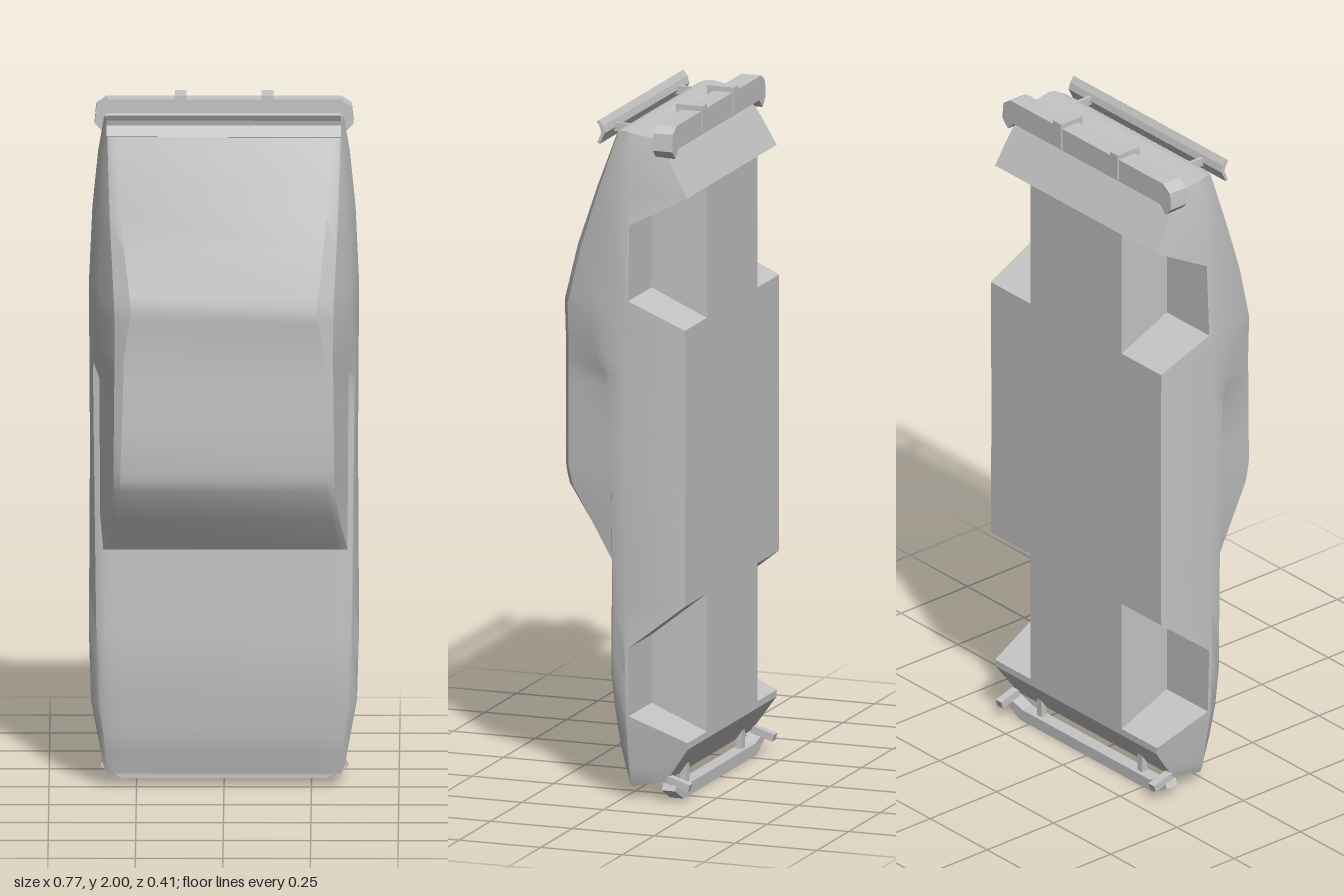
import * as THREE from 'three';
import { toCreasedNormals } from 'three/addons/utils/BufferGeometryUtils.js';

// Car shell standing on its nose: length along y (nose at 0), roof towards +z.
const paint = new THREE.MeshStandardMaterial({ color: 0xc4c4c4 });
paint.name = 'grey paint';

// Piecewise-linear curve through [y, value] pairs
const curve = (...pts) => (y) => {
  if (y <= pts[0][0]) return pts[0][1];
  for (let i = 1; i < pts.length; i++) {
    const [a, u] = pts[i - 1], [b, v] = pts[i];
    if (y <= b) return u + (v - u) * (y - a) / (b - a);
  }
  return pts[pts.length - 1][1];
};

// Underside, wheel arches and side outline
const floorZ = curve([0.035, -0.03], [0.06, -0.13], [0.16, -0.2], [1.78, -0.2], [1.94, -0.11], [1.957, -0.01]);
const archZ = curve([0.18, -0.2], [0.25, -0.03], [0.45, -0.03], [0.585, -0.2],
  [1.395, -0.2], [1.47, -0.03], [1.69, -0.03], [1.78, -0.2]);
const sideX = curve([0.035, 0.335], [0.06, 0.345], [0.25, 0.38], [0.45, 0.386], [1, 0.383],
  [1.47, 0.386], [1.69, 0.376], [1.85, 0.36], [1.957, 0.342]);
// Shoulder line, glasshouse base, roof edge and centre line
const beltX = curve([0.035, 0.33], [0.06, 0.338], [0.25, 0.362], [0.7, 0.368], [1.2, 0.374],
  [1.43, 0.37], [1.7, 0.358], [1.957, 0.338]);
const beltZ = curve([0.035, -0.019], [0.15, 0.002], [0.36, 0.025], [0.7, 0.025], [1.2, 0.03],
  [1.43, 0.045], [1.75, 0.03], [1.957, 0.003]);
const shelfX = curve([0.035, 0.328], [0.06, 0.334], [0.25, 0.355], [0.7, 0.353], [1.2, 0.356],
  [1.3, 0.358], [1.43, 0.358], [1.7, 0.35], [1.957, 0.337]);
const shelfZ = curve([0.035, -0.018], [0.15, 0.007], [0.36, 0.032], [0.7, 0.032], [1.2, 0.036],
  [1.3, 0.08], [1.43, 0.09], [1.75, 0.055], [1.957, 0.007]);
const edgeX = curve([0.035, 0.31], [0.25, 0.335], [0.7, 0.345], [0.9, 0.316], [1.3, 0.312],
  [1.43, 0.313], [1.7, 0.327], [1.957, 0.335]);
const edgeZ = curve([0.035, -0.017], [0.15, 0.011], [0.36, 0.037], [0.7, 0.034], [0.9, 0.167], [0.96, 0.18],
  [1.3, 0.18], [1.43, 0.183], [1.6, 0.14], [1.78, 0.08], [1.95, 0.02], [1.957, 0.01]);
const roofX = curve([0.035, 0.28], [0.7, 0.325], [0.9, 0.297], [1.3, 0.285], [1.43, 0.265],
  [1.6, 0.285], [1.957, 0.315]);
const roofZ = curve([0.035, -0.015], [0.15, 0.015], [0.36, 0.04], [0.7, 0.036], [0.9, 0.182], [0.95, 0.195],
  [1.3, 0.198], [1.43, 0.21], [1.6, 0.162], [1.78, 0.096], [1.95, 0.028], [1.957, 0.015]);

// One closed cross-section of the shell
function section(y) {
  const f = floorZ(y), a = Math.max(f, archZ(y)), m = Math.max(a, -0.02), s = sideX(y);
  const half = [
    [0.2, f], [0.2, a], [s - 0.012 * (m - a) / 0.18, a], [s, m],
    [beltX(y), beltZ(y)], [shelfX(y), shelfZ(y)], [edgeX(y), edgeZ(y)], [roofX(y), roofZ(y)],
  ];
  const mirror = half.map(([x, z]) => [-x, z]).reverse();
  return [...half, ...mirror].map(([x, z]) => new THREE.Vector3(x, y, z));
}

// Skin between successive rings, closed at both ends
function loft(rings, crease) {
  const pos = [];
  const tri = (a, b, c) => {
    const area = b.clone().sub(a).cross(c.clone().sub(a)).length();
    if (area > 1e-8) for (const p of [a, b, c]) pos.push(p.x, p.y, p.z);
  };
  const n = rings[0].length;
  for (let i = 0; i + 1 < rings.length; i++) for (let j = 0; j < n; j++) {
    const k = (j + 1) % n, a = rings[i][j], b = rings[i][k], c = rings[i + 1][k], d = rings[i + 1][j];
    tri(a, d, c);
    tri(a, c, b);
  }
  const first = rings[0], last = rings[rings.length - 1];
  for (const [ring, flip] of [[first, false], [last, true]]) {
    const mid = ring.reduce((s, p) => s.add(p), new THREE.Vector3()).divideScalar(n);
    for (let j = 0; j < n; j++) {
      const a = ring[j], b = ring[(j + 1) % n];
      if (flip) tri(mid, b, a); else tri(mid, a, b);
    }
  }
  const g = new THREE.BufferGeometry();
  g.setAttribute('position', new THREE.Float32BufferAttribute(pos, 3));
  return toCreasedNormals(g, crease);
}

const outline = (pts) => new THREE.Shape(pts.map(([u, v]) => new THREE.Vector2(u, v)));

export function createModel() {
  const model = new THREE.Group();
  model.name = 'carBody';
  const add = (name, geometry, x = 0, y = 0, z = 0) => {
    const mesh = new THREE.Mesh(geometry, paint);
    mesh.name = name;
    mesh.position.set(x, y, z);
    model.add(mesh);
    return mesh;
  };
  // Bar given by its x-y outline and its depth in z
  const bar = (name, pts, z0, z1) =>
    add(name, new THREE.ExtrudeGeometry(outline(pts), { depth: z1 - z0, bevelEnabled: false }), 0, 0, z0);

  // Body shell with wheel arches
  const stations = [0.035, 0.06, 0.1, 0.15, 0.16, 0.18, 0.25, 0.36, 0.45, 0.585, 0.7, 0.8, 0.9, 0.93, 0.96, 1.08,
    1.2, 1.25, 1.3, 1.395, 1.43, 1.47, 1.6, 1.69, 1.78, 1.85, 1.94, 1.95, 1.957];
  add('bodyShell', loft(stations.map(section), 0.5));

  // Rear bumper with hooked ends, and its two overriders
  bar('rearBumper', [[-0.335, 1.985], [-0.365, 1.965], [-0.37, 1.915], [-0.345, 1.89], [-0.32, 1.915],
    [0.32, 1.915], [0.345, 1.89], [0.37, 1.915], [0.365, 1.965], [0.335, 1.985]], -0.16, -0.1);
  for (const s of [-1, 1]) {
    add('rearOverrider', new THREE.BoxGeometry(0.034, 0.08, 0.083), s * 0.124, 1.96, -0.1235);
  }

  // Rear spoiler blade on two struts
  const blade = new THREE.ExtrudeGeometry(outline([[1.982, 0.078], [1.965, 0.066], [1.945, 0.06],
    [1.912, 0.076], [1.915, 0.084], [1.945, 0.071], [1.96, 0.075], [1.977, 0.085]]),
  { depth: 0.67, bevelEnabled: false });
  blade.applyMatrix4(new THREE.Matrix4().makeBasis(
    new THREE.Vector3(0, 1, 0), new THREE.Vector3(0, 0, 1), new THREE.Vector3(1, 0, 0)));
  add('spoilerBlade', blade, -0.335);
  for (const s of [-1, 1]) {
    add('spoilerStrut', new THREE.BoxGeometry(0.012, 0.024, 0.065), s * 0.245, 1.945, 0.034);
  }

  // Front bumper with swept ends, corner fins and brackets
  bar('frontBumper', [[-0.29, 0], [0.29, 0], [0.355, 0.035], [0.345, 0.055], [0.28, 0.035],
    [-0.28, 0.035], [-0.345, 0.055], [-0.355, 0.035]], -0.163, -0.122);
  for (const s of [-1, 1]) {
    const fin = add('frontBumperFin', new THREE.BoxGeometry(0.025, 0.022, 0.07), s * 0.335, 0.055, -0.168);
    fin.rotation.x = -0.3;
    add('frontBumperBracket', new THREE.BoxGeometry(0.02, 0.07, 0.02), s * 0.22, 0.065, -0.14);
  }
  return model;
}
